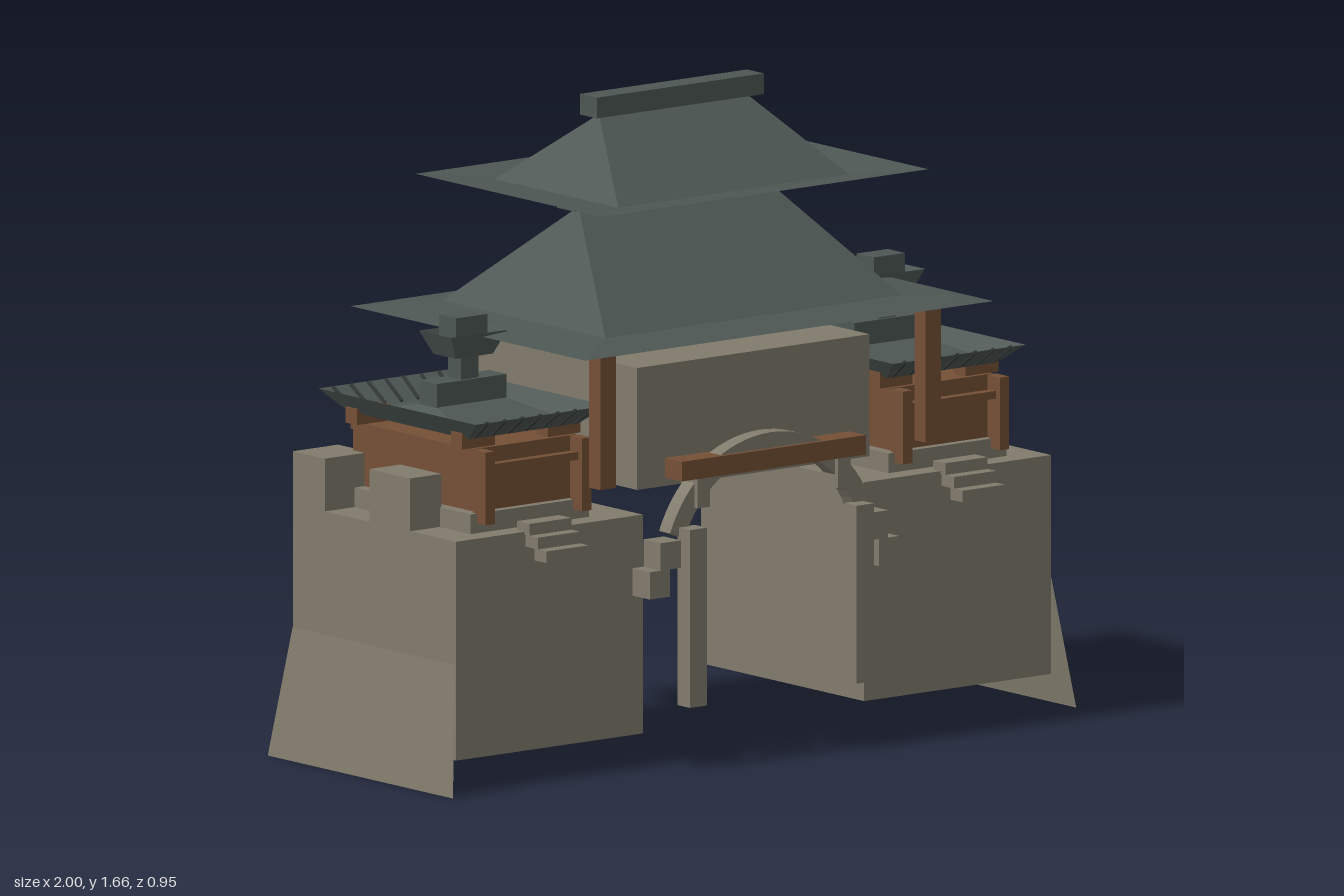
import * as THREE from 'three';

const stone = new THREE.MeshStandardMaterial({ name: 'stone', color: 0x817b6c, side: THREE.DoubleSide });
const wood = new THREE.MeshStandardMaterial({ name: 'wood', color: 0x755036 });
const tile = new THREE.MeshStandardMaterial({ name: 'roofTile', color: 0x4d5753, side: THREE.DoubleSide });
const darkTile = new THREE.MeshStandardMaterial({ name: 'darkTile', color: 0x353c3b });

// Box from its bounds
function box(parent, name, mat, x0, x1, y0, y1, z0, z1) {
  const m = new THREE.Mesh(new THREE.BoxGeometry(Math.abs(x1 - x0), y1 - y0, z1 - z0), mat);
  m.position.set((x0 + x1) / 2, (y0 + y1) / 2, (z0 + z1) / 2);
  m.name = name;
  parent.add(m);
  return m;
}

// Mesh with flat normals from a flat list of triangle corners
function facets(parent, name, mat, pos) {
  const g = new THREE.BufferGeometry();
  g.setAttribute('position', new THREE.Float32BufferAttribute(pos, 3));
  g.computeVertexNormals();
  const m = new THREE.Mesh(g, mat);
  m.name = name;
  parent.add(m);
  return m;
}

// Skin over rectangular rings [halfX, halfZ, y], listed from the bottom up
function rings(parent, name, mat, list) {
  const corner = ([hx, hz, y], i) => [[hx, y, hz], [hx, y, -hz], [-hx, y, -hz], [-hx, y, hz]][i % 4];
  const pos = [];
  for (let r = 0; r < list.length - 1; r++) {
    for (let i = 0; i < 4; i++) {
      const a = corner(list[r], i), b = corner(list[r], i + 1);
      const c = corner(list[r + 1], i + 1), d = corner(list[r + 1], i);
      pos.push(...a, ...b, ...c, ...a, ...c, ...d);
    }
  }
  return facets(parent, name, mat, pos);
}

// Hollow wall block: four sides and a top, open underneath
function hollowBlock(parent, name, hx, hz, y0, y1) {
  return rings(parent, name, stone, [[hx, hz, y0], [hx, hz, y1], [0, 0, y1]]);
}

// Splayed outer wall foot, a single sheet
function wallFoot(parent, s) {
  const p = [[0.956, 0.33, 0.33], [1, 0, 0.375], [1, 0, -0.375], [0.956, 0.33, -0.33]].map(([x, y, z]) => [s * x, y, z]);
  const order = s > 0 ? [0, 1, 2, 0, 2, 3] : [0, 2, 1, 0, 3, 2];
  facets(parent, 'wallFoot', stone, order.flatMap(i => p[i]));
}

// Small guard house with upturned roof, centred on its own x
function guardHouse() {
  const h = new THREE.Group();
  h.name = 'guardHouse';
  box(h, 'podium', stone, -0.19, 0.19, 0.645, 0.695, -0.27, 0.27);
  box(h, 'houseWalls', wood, -0.158, 0.158, 0.695, 0.836, -0.247, 0.247);
  box(h, 'topRail', wood, -0.165, 0.165, 0.836, 0.856, -0.249, 0.249);
  for (const s of [-1, 1]) {
    box(h, 'frontPost', wood, s * 0.14, s * 0.17, 0.67, 0.856, 0.255, 0.305);
    for (const t of [-1, 1]) {
      box(h, 'roofBracket', wood, s * 0.085, s * 0.19, 0.856, 0.897, t * 0.213 - 0.023, t * 0.213 + 0.023);
    }
  }
  box(h, 'frontRail', wood, -0.14, 0.14, 0.8, 0.82, 0.265, 0.29);
  rings(h, 'upturnedRoof', tile, [[0.2125, 0.318, 0.934], [0.175, 0.245, 0.882], [0.11, 0.035, 0.925]]);
  // Tile ribs on the end slopes
  for (const t of [-1, 1]) {
    for (let i = 0; i < 7; i++) {
      const x = -0.165 + i * 0.055;
      const rib = box(h, 'tileRib', darkTile, x - 0.004, x + 0.004, 0.906, 0.914, t * 0.281 - 0.04, t * 0.281 + 0.04);
      rib.rotation.set(-t * 0.62, t * x * 0.9, 0, 'YXZ');
    }
  }
  // Finial with an open flared cap
  box(h, 'finialBase', tile, -0.112, 0.112, 0.92, 0.985, -0.035, 0.035);
  box(h, 'finialStem', tile, -0.028, 0.028, 0.985, 1.045, -0.026, 0.026);
  rings(h, 'finialCap', tile, [[0, 0, 1.045], [0.06, 0.045, 1.045], [0.09, 0.065, 1.105]]);
  box(h, 'finialTop', tile, -0.05, 0.05, 1.046, 1.146, -0.035, 0.035);
  return h;
}

export function createModel() {
  const root = new THREE.Group();
  root.name = 'castleGate';

  for (const s of [-1, 1]) {
    // Stone flank
    hollowBlock(root, 'flankWall', 0.3, 0.33, 0.085, 0.645).position.x = s * 0.655;
    wallFoot(root, s);
    const house = guardHouse();
    house.position.x = s * 0.67;
    root.add(house);

    // Front steps
    for (let i = 0; i < 3; i++) {
      box(root, 'step', stone, s * 0.6, s * 0.735, 0.638 - i * 0.03, 0.668 - i * 0.03, 0.3 + i * 0.035, 0.35 + i * 0.035);
    }
    // Arch supports
    box(root, 'gatePillar', stone, s * 0.24, s * 0.295, 0.16, 0.615, 0.395, 0.445);
    box(root, 'upperCorbel', stone, s * 0.3, s * 0.365, 0.515, 0.585, 0.345, 0.415);
    box(root, 'lowerCorbel', stone, s * 0.335, s * 0.4, 0.445, 0.515, 0.345, 0.415);
    box(root, 'lintelBracket', stone, s * 0.205, s * 0.245, 0.66, 0.735, 0.345, 0.413);
    box(root, 'tallPost', wood, s * 0.497, s * 0.547, 0.74, 1.085, 0.355, 0.4);
  }

  // Raised wall blocks
  box(root, 'innerMerlon', stone, 0.355, 0.5, 0.645, 0.78, -0.33, -0.2);
  box(root, 'outerMerlon', stone, -0.955, -0.855, 0.645, 0.78, -0.02, 0.145);
  box(root, 'cornerMerlon', stone, -0.955, -0.81, 0.645, 0.78, -0.33, -0.2);

  // Central wall and timber lintel
  hollowBlock(root, 'gateWall', 0.373, 0.33, 0.71, 1.022);
  box(root, 'lintel', wood, -0.295, 0.295, 0.735, 0.785, 0.345, 0.413);

  // Stone arch
  const a0 = 0.37, cy = 0.478;
  const shape = new THREE.Shape();
  shape.absarc(0, cy, 0.347, a0, Math.PI - a0, false);
  shape.absarc(0, cy, 0.297, Math.PI - a0, a0, true);
  const arch = new THREE.Mesh(new THREE.ExtrudeGeometry(shape, { depth: 0.045, bevelEnabled: false, curveSegments: 16 }), stone);
  arch.position.z = 0.356;
  arch.name = 'arch';
  root.add(arch);

  // Two-tier hipped roof
  rings(root, 'lowerRoof', tile, [[0.655, 0.475, 1.095], [0.475, 0.33, 1.11], [0.3, 0, 1.378]]);
  box(root, 'lowerRidge', tile, -0.342, 0.342, 1.375, 1.42, -0.035, 0.035);
  rings(root, 'upperRoof', tile, [[0.525, 0.376, 1.433], [0.37, 0.25, 1.42], [0.235, 0, 1.607]]);
  box(root, 'upperRidge', tile, -0.268, 0.268, 1.605, 1.658, -0.034, 0.034);

  return root;
}
